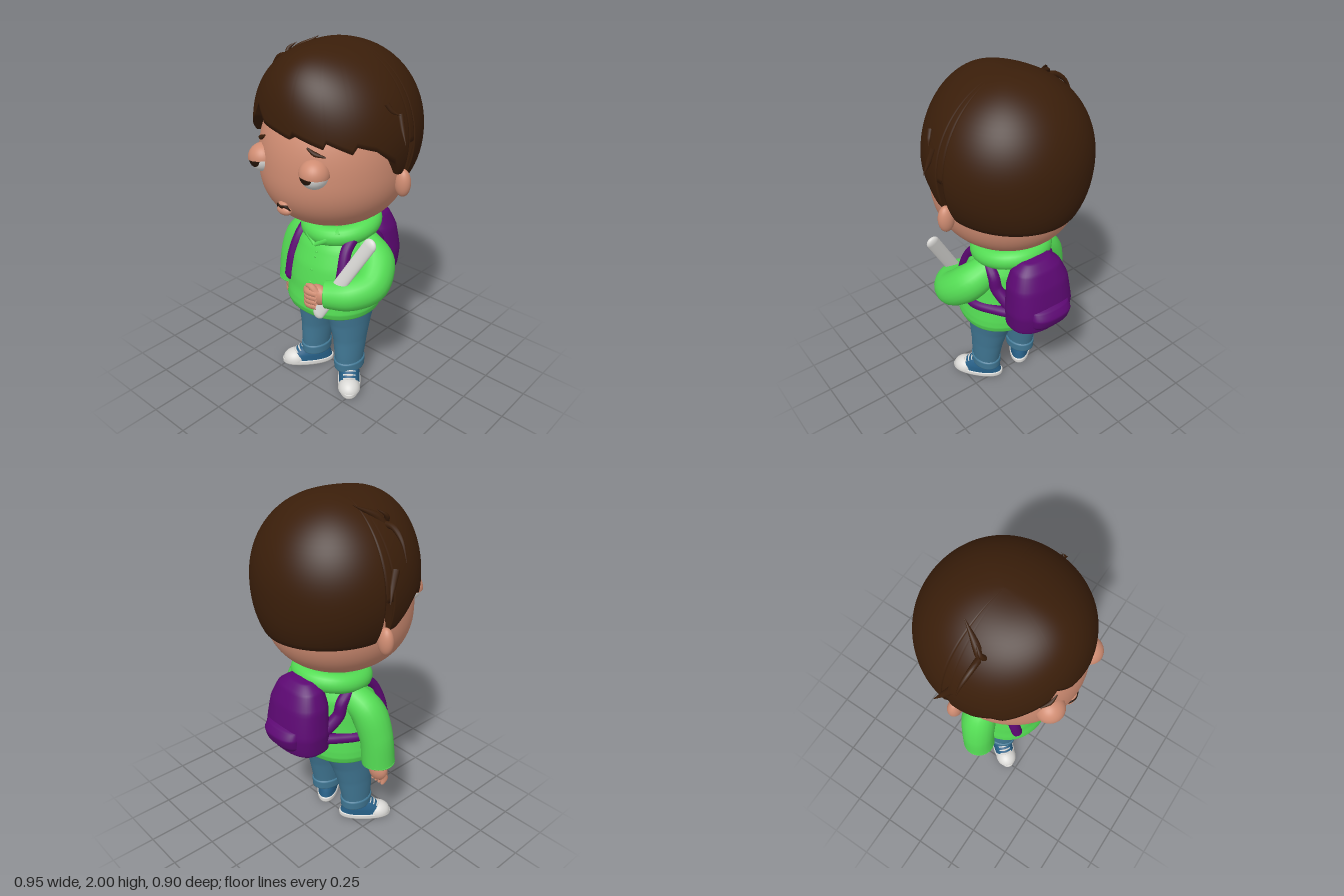
import * as THREE from 'three';

const mat = (name, color) => Object.assign(new THREE.MeshStandardMaterial({ color }), { name });
const V = (x, y, z) => new THREE.Vector3(x, y, z);

export function createModel() {
  const root = new THREE.Group();
  const skin = mat('skin', 0xcf8c72), hairMat = mat('hairBrown', 0x3a1e0a), green = mat('hoodieGreen', 0x54dc54);
  const purple = mat('backpackPurple', 0x5c0872), denim = mat('denim', 0x417895), canvas = mat('shoeBlue', 0x265f86);
  const white = mat('offWhite', 0xdad9d6), dark = mat('irisBrown', 0x241307);

  const add = (name, geo, material, parent = root) => {
    const m = new THREE.Mesh(geo, material);
    m.name = name;
    parent.add(m);
    return m;
  };
  // Closed loops of points stacked in rows, with shared vertices for smooth normals
  const grid = (n, m, fn) => {
    const pos = [], idx = [];
    for (let i = 0; i <= n; i++) for (let j = 0; j < m; j++) pos.push(...fn(i, j));
    for (let i = 0; i < n; i++) for (let j = 0; j < m; j++) {
      const a = i * m + j, b = i * m + (j + 1) % m;
      idx.push(a, a + m, b, b, a + m, b + m);
    }
    const g = new THREE.BufferGeometry();
    g.setAttribute('position', new THREE.Float32BufferAttribute(pos, 3));
    g.setIndex(idx);
    g.computeVertexNormals();
    return g;
  };
  // Loft through rows [x, y, z, rx, rz] from bottom to top; p above 2 makes it squarer
  const loft = (rows, p = 2, n = 32, m = 40) => {
    const c = new THREE.CatmullRomCurve3(rows.map(r => V(r[0], r[1], r[2])), false, 'centripetal');
    const lerp = (t, k) => {
      const u = t * (rows.length - 1), i = Math.min(Math.floor(u), rows.length - 2);
      return THREE.MathUtils.lerp(rows[i][k], rows[i + 1][k], u - i);
    };
    const pw = v => Math.sign(v) * Math.abs(v) ** (2 / p);
    return grid(n, m, (i, j) => {
      const t = i / n, o = c.getPoint(t), a = j / m * Math.PI * 2;
      return [o.x + lerp(t, 3) * pw(Math.cos(a)), o.y, o.z + lerp(t, 4) * pw(Math.sin(a))];
    });
  };
  // Tube along points with varying radius
  const limb = (pts, radii, n = 28, m = 20) => {
    const c = new THREE.CatmullRomCurve3(pts.map(p => V(...p)));
    const g = new THREE.TubeGeometry(c, n, 1, m), pos = g.attributes.position, v = V(0, 0, 0);
    for (let k = 0; k < pos.count; k++) {
      const t = Math.floor(k / (m + 1)) / n, u = t * (radii.length - 1), i = Math.min(Math.floor(u), radii.length - 2);
      const o = c.getPointAt(t), r = THREE.MathUtils.lerp(radii[i], radii[i + 1], u - i);
      v.fromBufferAttribute(pos, k).sub(o).multiplyScalar(r).add(o);
      pos.setXYZ(k, v.x, v.y, v.z);
    }
    return g;
  };
  const ball = (name, material, p, s, parent = root) => {
    const m = add(name, new THREE.SphereGeometry(1, 32, 20), material, parent);
    m.position.set(...p);
    m.scale.set(...s);
    return m;
  };

  // Head
  add('head', grid(40, 56, (i, j) => {
    const b = Math.PI * (1 - i / 40), a = j / 56 * Math.PI * 2, c = Math.cos(b);
    const r = Math.max(0, 1 - Math.abs(c) ** 2.3) ** 0.435;
    return [0.387 * r * Math.cos(a), 1.38 + c * (c < 0 ? 0.34 : 0.45), 0.03 + 0.41 * r * Math.sin(a)];
  }), skin);
  add('neck', new THREE.CylinderGeometry(0.1, 0.11, 0.12, 32), skin).position.set(0, 1.02, 0);

  // Hair shell, fuller above the forehead: its lower edge follows [degrees from the front, height]
  const edge = [[-180, 1.295], [-99, 1.31], [-98, 1.55], [-93, 1.55], [-92, 1.38], [-86, 1.39], [-72, 1.5], [-65, 1.53],
    [-58, 1.5], [-45, 1.57], [-30, 1.64], [-25, 1.71], [-13, 1.64], [0, 1.62], [10, 1.6], [12, 1.625], [32, 1.57],
    [34, 1.6], [50, 1.545], [53, 1.58], [65, 1.55], [80, 1.47], [86, 1.39], [92, 1.38], [93, 1.55], [98, 1.55],
    [99, 1.31], [180, 1.295]];
  const edgeY = d => {
    const k = Math.max(1, edge.findIndex(e => e[0] >= d)), [a, b] = [edge[k - 1], edge[k]];
    return THREE.MathUtils.mapLinear(d, a[0], b[0], a[1], b[1]);
  };
  add('hair', grid(29, 360, (i, j) => {
    const d = j - 180, f = d * Math.PI / 180;
    const end = Math.acos((edgeY(d) - 1.55) / 0.45), c = Math.cos(end * Math.min(i, 28) / 28);
    const t = Math.min(1, Math.abs(c)), k = i === 29 ? 0.84 : 1; // last row turns inward
    const p = c > 0 ? 2.45 + 0.4 * Math.cos(f) : 2.5;
    return [0.442 * k * Math.sqrt(1 - t * t) * Math.sin(f), 1.55 + 0.45 * c, 0.442 * k * (1 - t ** p) ** (1 / p) * Math.cos(f)];
  }), hairMat);
  [[0.026, [-0.29, 1.82, 0.07], [-0.265, 1.9, 0.04], [-0.2, 1.97, -0.07]],
    [0.018, [-0.25, 1.87, 0.06], [-0.34, 1.87, 0.06], [-0.41, 1.82, 0.05], [-0.455, 1.73, 0.04]],
    [0.018, [-0.25, 1.85, 0.09], [-0.285, 1.91, 0.07], [-0.26, 1.945, 0.03]],
    [0.02, [-0.425, 1.7, 0], [-0.445, 1.62, -0.04], [-0.475, 1.56, -0.08]],
    [0.018, [0.415, 1.7, 0.03], [0.44, 1.63, 0.04], [0.47, 1.56, 0.05]],
    [0.014, [0.385, 1.76, 0.1], [0.408, 1.72, 0.08], [0.43, 1.7, 0.05]]
  ].forEach(([r, ...p]) => add('hairLock', limb(p, [r, r * 0.75, 0.001], 14, 10), hairMat));

  // Ears, eyes and brows
  for (const s of [-1, 1]) {
    ball('ear', skin, [s * 0.405, 1.325, -0.028], [0.045, 0.075, 0.037]);
    const eye = new THREE.Group();
    eye.name = 'eye';
    eye.position.set(s * 0.177, 1.432, 0.376);
    eye.rotation.z = -s * 0.1;
    root.add(eye);
    ball('eyeWhite', white, [0, 0, 0], [0.072, 0.072, 0.072], eye);
    add('iris', new THREE.SphereGeometry(0.0745, 24, 8, 0, Math.PI * 2, 0, 0.58).rotateX(Math.PI / 2 - 0.12), dark, eye);
    add('upperLid', new THREE.SphereGeometry(0.078, 32, 16, 0, Math.PI * 2, 0, Math.PI / 2), skin, eye);
    add('lidEdge', new THREE.RingGeometry(0.06, 0.078, 32).rotateX(Math.PI / 2), skin, eye);
    add('lowerLid', new THREE.SphereGeometry(0.0745, 32, 10, 0, Math.PI * 2, Math.PI * 0.85, Math.PI * 0.15), skin, eye);
    add('eyebrow', limb([[s * 0.14, 1.56, 0.383], [s * 0.18, 1.538, 0.377], [s * 0.23, 1.523, 0.35]],
      [0.006, 0.013, 0.003], 14, 10), hairMat);
  }

  // Mouth with pouting lips
  add('mouth', limb([[-0.046, 1.212, 0.415], [-0.024, 1.234, 0.428], [0, 1.229, 0.434], [0.024, 1.234, 0.428], [0.046, 1.212, 0.415]],
    [0.003, 0.008, 0.008, 0.008, 0.003], 20, 10), dark);
  ball('lowerLip', skin, [0, 1.203, 0.412], [0.046, 0.026, 0.026]);
  ball('upperLip', skin, [0, 1.24, 0.42], [0.03, 0.012, 0.016]);

  // Hoodie body
  const torso = [[0, 0.505, 0.035, 0.2, 0.17], [0, 0.515, 0.035, 0.265, 0.237], [0, 0.55, 0.035, 0.275, 0.249],
    [0, 0.59, 0.033, 0.272, 0.247], [0, 0.64, 0.03, 0.264, 0.24], [0, 0.7, 0.03, 0.256, 0.234], [0, 0.8, 0.02, 0.243, 0.222],
    [0, 0.9, 0, 0.222, 0.2], [0, 0.97, -0.01, 0.18, 0.165], [0, 1.01, -0.01, 0.09, 0.08]];
  add('hoodieBody', loft(torso, 2.2, 54), green);
  const onTorso = (x, y, side) => { // point on the front (1) or back (-1)
    const k = Math.max(1, torso.findIndex(r => r[1] >= y)), a = torso[k - 1], b = torso[k];
    const l = q => THREE.MathUtils.mapLinear(y, a[1], b[1], a[q], b[q]);
    return [x, y, l(2) + side * l(4) * Math.max(0, 1 - Math.abs(x / l(3)) ** 2.2) ** (1 / 2.2)];
  };
  const hood = add('hood', new THREE.TorusGeometry(0.172, 0.057, 20, 48).rotateX(Math.PI / 2), green);
  hood.position.set(0, 0.992, -0.025);
  hood.rotation.x = 0.16;
  for (const s of [-1, 1]) // crossing collar edges
    add('collar', limb([[s * 0.12, 1.0, 0.12], [s * 0.06, 0.96, 0.17], [0, 0.915, 0.197]], [0.03, 0.026, 0.008], 14, 12), green);
  for (const y of [0.885, 0.86, 0.79, 0.72]) ball('button', green, onTorso(0.02, y, 1), [0.008, 0.006, 0.005]);

  // Sleeves
  add('rightSleeve', limb([[-0.17, 0.9, -0.02], [-0.26, 0.84, 0], [-0.312, 0.7, 0.02], [-0.328, 0.525, 0.03]],
    [0.085, 0.1, 0.093, 0.094]), green);
  ball('rightShoulder', green, [-0.17, 0.9, -0.02], [0.085, 0.085, 0.085]);
  ball('rightCuff', green, [-0.328, 0.527, 0.03], [0.094, 0.02, 0.094]);
  add('leftSleeve', limb([[0.17, 0.89, -0.03], [0.27, 0.83, 0], [0.315, 0.745, 0.1], [0.26, 0.71, 0.2], [0.145, 0.69, 0.26]],
    [0.09, 0.105, 0.1, 0.09, 0.077]), green);
  ball('leftShoulder', green, [0.17, 0.89, -0.03], [0.09, 0.09, 0.09]);
  ball('leftCuff', green, [0.145, 0.69, 0.26], [0.02, 0.076, 0.076]).rotation.y = 0.5;

  // Hands
  ball('rightPalm', skin, [-0.33, 0.47, 0.03], [0.062, 0.07, 0.046]);
  for (let i = 0; i < 4; i++)
    add('rightFinger', limb([[-0.367 + i * 0.025, 0.46, 0.035], [-0.371 + i * 0.026, 0.42, 0.04], [-0.366 + i * 0.025, 0.38, 0.03]],
      [0.022, 0.021, 0.009], 10, 10), skin);
  add('rightThumb', limb([[-0.3, 0.48, 0.05], [-0.275, 0.45, 0.065], [-0.272, 0.415, 0.06]], [0.02, 0.018, 0.007], 10, 10), skin);
  ball('leftPalm', skin, [0.095, 0.675, 0.275], [0.066, 0.06, 0.042]);
  for (let i = 0; i < 4; i++)
    add('leftFinger', limb([[0.12, 0.7 - i * 0.026, 0.308], [0.06, 0.7 - i * 0.026, 0.316], [0.012, 0.69 - i * 0.02, 0.285]],
      [0.018, 0.021, 0.013], 10, 10), skin);
  add('leftThumb', limb([[0.11, 0.7, 0.3], [0.075, 0.73, 0.305], [0.035, 0.725, 0.3]], [0.022, 0.019, 0.01], 10, 10), skin);

  // Flat rod held in the left hand
  const rod = add('rod', new THREE.CapsuleGeometry(0.038, 0.545, 10, 24), white);
  rod.scale.z = 0.5;
  rod.position.set(0.24, 0.805, 0.235);
  rod.quaternion.setFromUnitVectors(V(0, 1, 0), V(0.27, 0.475, -0.1).normalize());

  // Backpack and straps
  add('backpack', loft([[0, 0.6, -0.26, 0.001, 0.001], [0, 0.605, -0.26, 0.14, 0.09], [0, 0.64, -0.27, 0.185, 0.125],
    [0, 0.75, -0.275, 0.195, 0.134], [0, 0.9, -0.262, 0.178, 0.118], [0, 0.99, -0.25, 0.14, 0.09],
    [0, 1.03, -0.245, 0.085, 0.05], [0, 1.04, -0.245, 0.001, 0.001]], 2.5, 49), purple);
  add('backpackPocket', loft([[0, 0.64, -0.34, 0.001, 0.001], [0, 0.645, -0.35, 0.09, 0.04], [0, 0.69, -0.37, 0.122, 0.063],
    [0, 0.745, -0.378, 0.128, 0.071], [0, 0.785, -0.368, 0.12, 0.055], [0, 0.815, -0.355, 0.001, 0.001]], 2.4, 35), purple);
  for (const s of [-1, 1]) {
    add('shoulderStrap', limb([onTorso(s * 0.185, 0.665, 1), onTorso(s * 0.183, 0.8, 1), onTorso(s * 0.168, 0.92, 1),
      [s * 0.17, 0.975, 0.03], onTorso(s * 0.185, 0.91, -1), onTorso(s * 0.18, 0.83, -1), [s * 0.15, 0.75, -0.2]],
    [0.032, 0.032, 0.036], 48, 14), purple);
    ball('strapEnd', purple, onTorso(s * 0.185, 0.665, 1), [0.032, 0.032, 0.022]);
    add('sideStrap', limb([[s * 0.245, 0.675, 0.09], [s * 0.25, 0.68, -0.02], onTorso(s * 0.19, 0.685, -1),
      [s * 0.14, 0.69, -0.22]], [0.024, 0.03, 0.03], 30, 14), purple);
  }

  // Jeans
  add('hips', loft([[0, 0.395, 0.03, 0.001, 0.001], [0, 0.4, 0.03, 0.1, 0.08], [0, 0.44, 0.028, 0.18, 0.128],
    [0, 0.53, 0.02, 0.225, 0.182]], 2.1, 33), denim);
  for (const s of [-1, 1]) {
    add('trouserLeg', loft([[s * 0.132, 0.1, 0.052, 0.072, 0.092], [s * 0.132, 0.16, 0.052, 0.075, 0.096],
      [s * 0.127, 0.3, 0.04, 0.088, 0.115], [s * 0.118, 0.42, 0.03, 0.107, 0.144], [s * 0.11, 0.51, 0.02, 0.125, 0.178]]), denim);
    add('trouserCuff', loft([[s * 0.132, 0.095, 0.052, 0.06, 0.08], [s * 0.132, 0.1, 0.052, 0.08, 0.1],
      [s * 0.132, 0.15, 0.052, 0.083, 0.103], [s * 0.132, 0.16, 0.052, 0.07, 0.09]], 2, 18), denim);

    // Shoe, toes turned out
    const shoe = new THREE.Group();
    shoe.name = 'shoe';
    shoe.position.set(s * 0.168, 0, 0.094);
    shoe.rotation.y = s * 0.7;
    root.add(shoe);
    add('sole', loft([[0, 0, 0, 0.001, 0.001], [0, 0.001, 0, 0.062, 0.153], [0, 0.01, 0, 0.067, 0.158], [0, 0.03, 0, 0.067, 0.158],
      [0, 0.036, 0, 0.055, 0.147]], 2.2, 20), white, shoe);
    add('shoeUpper', loft([[0, 0.03, -0.005, 0.062, 0.146], [0, 0.07, -0.02, 0.06, 0.12], [0, 0.1, -0.035, 0.054, 0.095],
      [0, 0.13, -0.05, 0.045, 0.06]], 2.2, 18), canvas, shoe);
    const toe = add('toeCap', new THREE.SphereGeometry(1, 32, 12, 0, Math.PI * 2, 0, Math.PI / 2), white, shoe);
    toe.position.set(0, 0.025, 0.078);
    toe.scale.set(0.065, 0.062, 0.076);
    for (let i = 0; i < 3; i++)
      add('lace', limb([[-0.035, 0.078 + i * 0.013, 0.068 - i * 0.02], [0, 0.088 + i * 0.012, 0.08 - i * 0.022],
        [0.035, 0.078 + i * 0.013, 0.068 - i * 0.02]], [0.006, 0.006], 8, 8), white, shoe);
  }
  return root;
}
